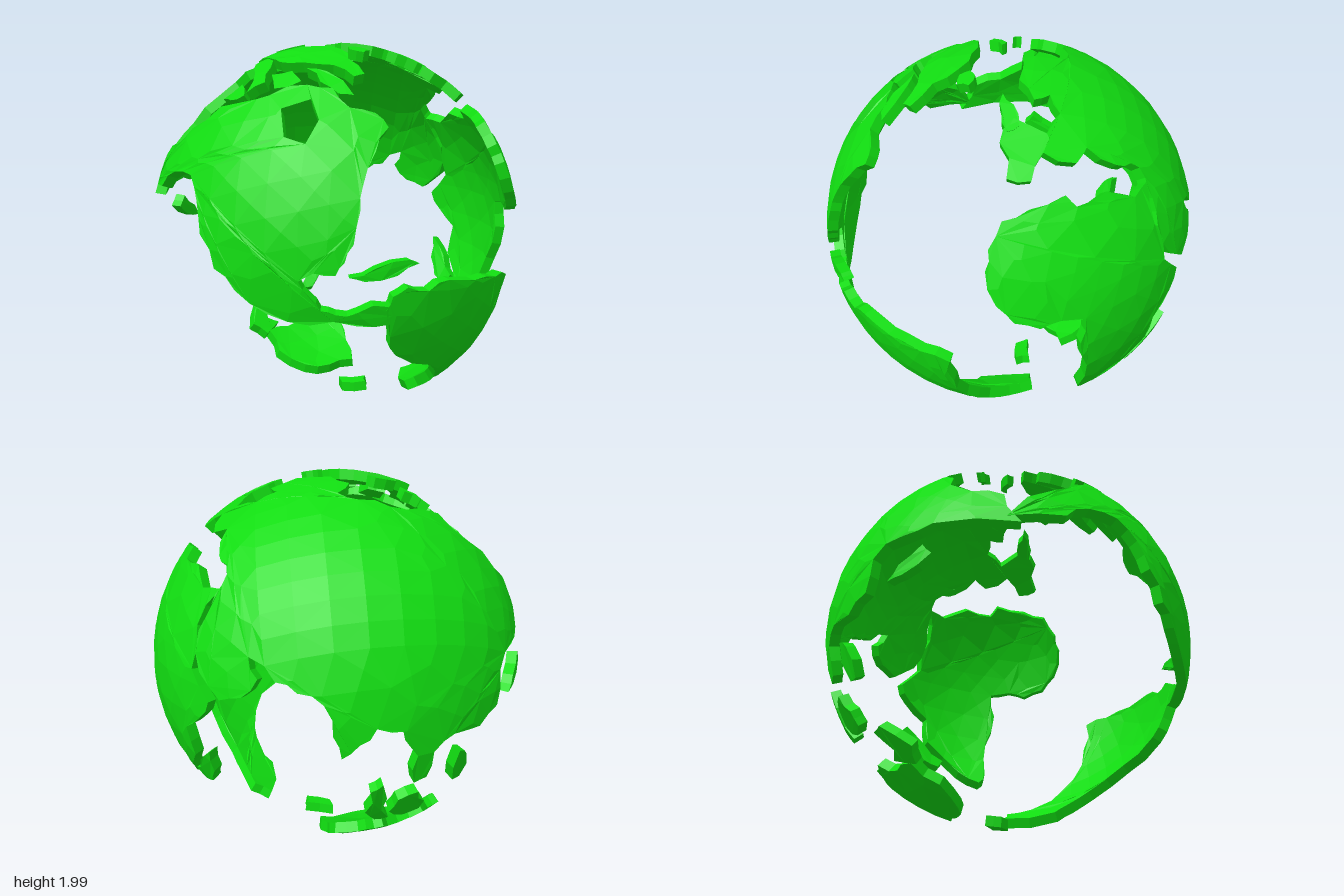
import * as THREE from 'three';

const OUTER = 0.995, INNER = 0.94, MAX_EDGE = 0.24;

// Seeded noise for ragged coasts
let seed = 7;
const rand = () => { seed = (seed * 16807) % 2147483647; return seed / 2147483647 - 0.5; };

// Coast points given on one side of the globe, lifted onto the unit sphere
const lift = (make) => (...pts) => pts.map(([a, b]) => make(a, b).normalize());
const rest = (a, b) => Math.sqrt(Math.max(0, 0.97 - a * a - b * b));
const front = lift((x, y) => new THREE.Vector3(x, y - 1, rest(x, y - 1)));
const back = lift((x, y) => new THREE.Vector3(x, y - 1, -rest(x, y - 1)));
const right = lift((z, y) => new THREE.Vector3(rest(z, y - 1), y - 1, z));
const top = lift((x, z) => new THREE.Vector3(x, rest(x, z), z));
const bottom = lift((x, z) => new THREE.Vector3(x, -rest(x, z), z));

// Adds a displaced point in the middle of each coast edge
function ragged(points) {
  const out = [];
  points.forEach((p, i) => {
    const q = points[(i + 1) % points.length];
    const d = q.clone().sub(p);
    out.push(p, p.clone().addScaledVector(d, 0.5).addScaledVector(new THREE.Vector2(-d.y, d.x), rand() * 0.3));
  });
  return out;
}

// Thick faceted shell bounded by a coast outline
function landGeometry(outline, holes = []) {
  const n = outline.reduce((s, p) => s.add(p), new THREE.Vector3()).normalize();
  const e1 = new THREE.Vector3(0.31, 0.2, 0.9).cross(n).normalize();
  const e2 = n.clone().cross(e1);
  const flatten = (p) => new THREE.Vector2(p.dot(e1), p.dot(e2)).multiplyScalar(Math.sqrt(2 / (1 + p.dot(n))));
  const wrap = (v) => {
    const r2 = v.lengthSq(), s = Math.sqrt(1 - r2 / 4);
    return n.clone().multiplyScalar(1 - r2 / 2).addScaledVector(e1, v.x * s).addScaledVector(e2, v.y * s);
  };

  const contour = ragged(outline.map(flatten));
  if (THREE.ShapeUtils.isClockWise(contour)) contour.reverse();
  const inner = holes.map((h) => {
    const c = h.map(flatten);
    return THREE.ShapeUtils.isClockWise(c) ? c : c.reverse();
  });
  const verts = [contour, ...inner].flat();

  // Split long edges until the land follows the sphere
  const mids = new Map();
  const midpoint = (a, b) => {
    const key = a < b ? `${a},${b}` : `${b},${a}`;
    if (!mids.has(key)) mids.set(key, verts.push(verts[a].clone().add(verts[b]).multiplyScalar(0.5)) - 1);
    return mids.get(key);
  };
  const queue = THREE.ShapeUtils.triangulateShape(contour, inner).map((t) => [...t]);
  const faces = [];
  while (queue.length) {
    const t = queue.pop();
    const len = t.map((a, i) => verts[a].distanceTo(verts[t[(i + 1) % 3]]));
    const k = len.indexOf(Math.max(...len));
    if (len[k] <= MAX_EDGE) { faces.push(t); continue; }
    const a = t[k], b = t[(k + 1) % 3], c = t[(k + 2) % 3], m = midpoint(a, b);
    queue.push([a, m, c], [m, b, c]);
  }

  // Outer skin, inner skin and coast walls
  const dirs = verts.map(wrap);
  const pos = [];
  const add = (r, i) => pos.push(dirs[i].x * r, dirs[i].y * r + 1, dirs[i].z * r);
  const edges = new Set();
  for (const [a, b, c] of faces) {
    add(OUTER, a); add(OUTER, b); add(OUTER, c);
    add(INNER, a); add(INNER, c); add(INNER, b);
    edges.add(`${a},${b}`).add(`${b},${c}`).add(`${c},${a}`);
  }
  for (const e of edges) {
    const [a, b] = e.split(',').map(Number);
    if (edges.has(`${b},${a}`)) continue;
    add(OUTER, a); add(INNER, a); add(INNER, b);
    add(OUTER, a); add(INNER, b); add(OUTER, b);
  }
  const geo = new THREE.BufferGeometry();
  geo.setAttribute('position', new THREE.Float32BufferAttribute(pos, 3));
  geo.computeVertexNormals();
  return geo;
}

export function createModel() {
  seed = 7;
  const group = new THREE.Group();
  group.name = 'globeOfContinents';
  const green = new THREE.MeshStandardMaterial({ color: 0x11dd11 });
  green.name = 'land green';
  const land = (name, outline, holes) => {
    const mesh = new THREE.Mesh(landGeometry(outline, holes), green);
    mesh.name = name;
    group.add(mesh);
  };

  // Continents
  land('northAmerica', [
    ...front([.27, .8], [.12, .78], [.02, .77], [-.05, .79], [-.1, .86], [-.15, .93], [-.08, .97], [.02, .96],
      [.06, 1.02], [.1, 1.1], [.13, 1.25], [.14, 1.35], [.2, 1.5], [.26, 1.6]),
    ...top([.2, .7], [.08, .7], [0, .61], [-.12, .58], [-.3, .58], [-.42, .54], [-.55, .46], [-.7, .4], [-.8, .33]),
    ...front([-.95, 1.24], [-.87, 1.27], [-.78, 1.36], [-.68, 1.36], [-.64, 1.25], [-.62, 1.1], [-.55, .95],
      [-.45, .86], [-.3, .76], [-.1, .715], [.12, .71], [.27, .71]),
  ], [top([-.24, .67], [-.1, .66], [-.06, .75], [-.12, .82], [-.22, .78])]);

  land('southAmerica', [
    ...front([.25, .78], [.28, .85], [.35, .89], [.45, .86], [.55, .9], [.68, .87], [.8, .85]),
    ...right([.42, .83], [.4, .65], [.33, .42], [.2, .26], [.08, .19], [-.06, .15], [-.07, .1]),
    ...front([.4, .13], [.48, .2], [.52, .28], [.48, .42], [.3, .53], [.27, .64]),
  ]);

  land('africa', right([.24, 1.38], [.22, 1.47], [.15, 1.58], [.02, 1.62], [-.15, 1.65], [-.2, 1.6], [-.35, 1.62],
    [-.5, 1.55], [-.58, 1.57], [-.6, 1.4], [-.66, 1.2], [-.76, 1.07], [-.72, .97], [-.62, .87], [-.6, .7],
    [-.5, .6], [-.4, .5], [-.27, .43], [-.24, .5], [-.25, .75], [-.2, .95], [-.22, 1.1], [-.1, 1.12], [0, 1.09],
    [.12, 1.13], [.2, 1.22]));

  land('europeAndAsia', [
    ...top([.52, .12], [.66, .11], [.68, 0], [.58, -.07], [.61, -.22], [.54, -.28], [.57, -.42], [.53, -.5], [.55, -.57]),
    ...right([-.6, 1.5], [-.62, 1.38], [-.7, 1.2], [-.8, 1.1]),
    ...back([.46, 1.14], [.38, 1.24], [.42, 1.33], [.3, 1.24], [.2, 1.2], [.08, 1.15], [.04, 1], [0, .88],
      [-.08, .95], [-.16, 1.03], [-.3, 1], [-.36, .85], [-.35, .68], [-.41, .7], [-.44, .85], [-.54, .92],
      [-.68, .9], [-.78, .96], [-.79, 1.14], [-.87, 1.21], [-.92, 1.24]),
    ...front([-.95, 1.2]),
    ...top([-.9, .08], [-.88, -.08], [-.8, -.2], [-.65, -.25], [-.5, -.2], [-.4, -.25], [-.25, -.33], [-.1, -.32],
      [0, -.27], [-.06, -.16], [.03, -.07], [.2, -.02], [.33, -.07], [.3, -.15], [.4, -.18], [.5, -.1], [.42, .04]),
  ]);

  land('australia', back([.1, .07], [.06, .14], [.02, .23], [-.1, .25], [-.14, .28], [-.23, .28], [-.32, .22],
    [-.43, .22], [-.36, .13], [-.19, .06], [-.04, .05]));

  land('greenland', top([-.38, .13], [-.25, .12], [-.1, .17], [.03, .25], [.07, .38], [.15, .5], [.1, .53],
    [0, .45], [-.15, .4], [-.27, .33], [-.32, .23]));

  // Islands
  const islands = {
    madagascar: right([-.72, .78], [-.62, .68], [-.5, .57], [-.52, .52], [-.6, .55], [-.68, .65]),
    japan: back([-.93, 1.12], [-.95, 1.06], [-.9, .98], [-.86, .97], [-.89, 1.04]),
    philippines: back([-.58, .8], [-.62, .76], [-.6, .6], [-.56, .6]),
    borneo: back([-.42, .5], [-.38, .6], [-.28, .57], [-.24, .48], [-.32, .41], [-.4, .43]),
    sumatra: back([-.2, .7], [-.14, .66], [-.12, .5], [-.17, .42], [-.24, .42], [-.2, .5]),
    newGuinea: back([-.52, .38], [-.46, .37], [-.45, .28], [-.38, .25], [-.44, .21], [-.53, .27]),
    southernIsles: bottom([.04, -.04], [.18, -.02], [.18, -.1], [.02, -.12]),
    cuba: front([.08, .95], [.2, .99], [.36, 1.02], [.4, 1], [.3, .95], [.15, .93]),
    britain: top([.28, .07], [.35, .03], [.46, .02], [.48, .08], [.38, .09]),
    iceland: top([.07, .2], [.12, .18], [.18, .22], [.15, .27], [.08, .25]),
    svalbard: top([-.31, .03], [-.2, -.02], [-.16, .01], [-.27, .06]),
    siberianIsle: top([-.42, -.13], [-.34, -.12], [-.32, -.07], [-.4, -.09]),
    ellesmere: top([-.4, .22], [-.34, .2], [-.31, .36], [-.33, .48], [-.42, .49], [-.39, .35]),
    victoriaIsle: top([-.3, .44], [-.2, .46], [-.15, .55], [-.28, .55]),
    baffin: top([-.13, .46], [-.03, .5], [.1, .64], [.03, .64], [-.06, .57]),
    banksIsle: top([-.54, .42], [-.45, .4], [-.43, .5], [-.5, .47]),
  };
  for (const [name, outline] of Object.entries(islands)) land(name, outline);

  return group;
}
